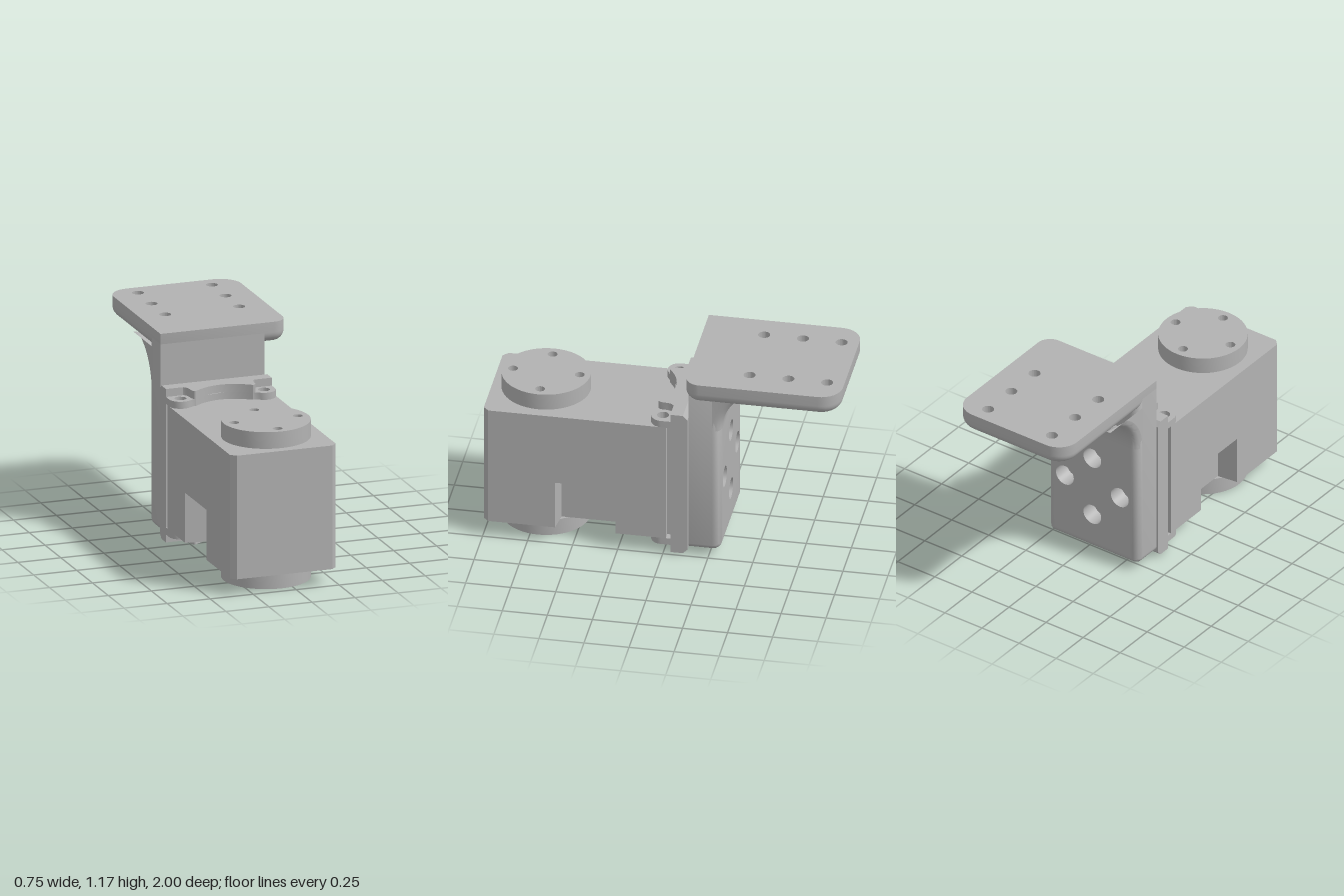
import * as THREE from 'three';
import { mergeGeometries, toCreasedNormals } from 'three/addons/utils/BufferGeometryUtils.js';

const grey = new THREE.MeshStandardMaterial({ color: 0xb2b2b2, side: THREE.DoubleSide });
grey.name = 'plain grey';
const CX = -0.0675; // middle of the motor and arm

function mesh(name, geos) {
  const plain = geos.map((g) => {
    const n = g.index ? g.toNonIndexed() : g;
    n.deleteAttribute('uv');
    n.deleteAttribute('normal');
    return n;
  });
  const m = new THREE.Mesh(toCreasedNormals(mergeGeometries(plain), 0.6), grey);
  m.name = name;
  return m;
}

// quads between rows of points, skipping any whose centre fails keep()
function grid(rows, keep = () => true) {
  const pos = [], index = [], n = rows[0].length;
  rows.forEach((r) => r.forEach((p) => pos.push(...p)));
  for (let i = 0; i < rows.length - 1; i++) {
    for (let j = 0; j < n - 1; j++) {
      const a = i * n + j, b = a + 1, c = a + n, d = c + 1;
      if (keep(i, j)) index.push(a, b, d, a, d, c);
    }
  }
  const g = new THREE.BufferGeometry();
  g.setAttribute('position', new THREE.Float32BufferAttribute(pos, 3));
  g.setIndex(index);
  return g;
}

const circle = (x, y, r) => new THREE.Path().absarc(x, y, r, 0, Math.PI * 2, true);

// plan outline (x, z) raised from y0 to y1
function plan(shape, y0, y1) {
  const g = new THREE.ExtrudeGeometry(shape, { depth: y1 - y0, bevelEnabled: false, curveSegments: 24 });
  return g.rotateX(Math.PI / 2).translate(0, y1, 0);
}

const poly = (pts) => new THREE.Shape(pts.map(([x, y]) => new THREE.Vector2(x, y)));

// rectangle with its own radius at each corner, shrunk by an inset
function roundRect(x0, x1, y0, y1, radii, inset) {
  const pts = [];
  [[x0, y0, 1, 1], [x1, y0, -1, 1], [x1, y1, -1, -1], [x0, y1, 1, -1]].forEach(([x, y, sx, sy], k) => {
    const r = Math.max(radii[k] - inset, 0.0005);
    for (let i = 0; i <= 8; i++) {
      const a = Math.PI + (k + i / 8) * Math.PI / 2;
      pts.push([x + sx * (inset + r) + r * Math.cos(a), y + sy * (inset + r) + r * Math.sin(a)]);
    }
  });
  return pts;
}

// slab along +z with one rounded rim; holes are [x, y, outer radius, inner radius, step depth]
function slab(outline, depth, rim, holes) {
  const rows = [];
  const ring = (inset, t) => {
    const p = outline(inset).map(([x, y]) => [x, y, t]);
    rows.push([...p, p[0]]);
  };
  ring(0, 0);
  for (let i = 0; i <= 8; i++) {
    const a = i / 8 * Math.PI / 2;
    ring(rim * (1 - Math.cos(a)), depth - rim + rim * Math.sin(a));
  }
  const cap = (inset, t, key) => {
    const s = poly(outline(inset));
    holes.forEach((h) => s.holes.push(circle(h[0], h[1], h[key])));
    return new THREE.ShapeGeometry(s, 16).translate(0, 0, t);
  };
  const geos = [grid(rows), cap(0, 0, 3), cap(rim, depth, 2)];
  const tube = (x, y, r, t0, t1) => geos.push(new THREE.CylinderGeometry(r, r, t1 - t0, 32, 1, true)
    .rotateX(Math.PI / 2).translate(x, y, (t0 + t1) / 2));
  holes.forEach(([x, y, R, r, step]) => {
    tube(x, y, r, 0, depth - step);
    if (step > 0) {
      tube(x, y, R, depth - step, depth);
      geos.push(new THREE.RingGeometry(r, R, 32).translate(x, y, depth - step));
    }
  });
  return geos;
}

// curved web under the shelf, with two round screw clearances
function filletGeometry() {
  const x0 = -0.37, x1 = 0.235, edge = 0.05, R = 0.06, NX = 64, NA = 26;
  const bores = [[-0.22, -0.475], [0.21, -0.475]];
  const inset = (x) => {
    const d = Math.min(x - x0, x1 - x, edge);
    return edge - Math.sqrt(Math.max(0, edge * edge - (edge - d) ** 2));
  };
  const height = (x, z) => Math.min(1.05, 0.8 + Math.sqrt(Math.max(0, (0.25 + inset(x)) ** 2 - (z + 0.57) ** 2)));
  const rows = [];
  for (let i = 0; i <= NX; i++) {
    const x = THREE.MathUtils.lerp(x0, x1, 0.5 - 0.5 * Math.cos(i / NX * Math.PI) * (0.6 + 0.4 * Math.abs(2 * i / NX - 1)));
    const row = [];
    for (let j = 0; j <= NA; j++) {
      const a = j / NA * Math.PI / 2, r = 0.25 + inset(x);
      let p = [x, Math.min(1.06, 0.8 + r * Math.sin(a)), -0.57 + r * Math.cos(a)];
      for (const [bx, bz] of bores) {
        const d = Math.hypot(p[0] - bx, p[2] - bz);
        if (Math.abs(d - R) < 0.006 && i > 0 && i < NX) {
          const px = bx + (p[0] - bx) * R / d, pz = bz + (p[2] - bz) * R / d;
          p = [px, height(px, pz), pz];
        }
      }
      row.push(p);
    }
    rows.push(row);
  }
  const keep = (i, j) => {
    const a = rows[i][j], b = rows[i + 1][j + 1];
    return bores.every(([x, z]) => Math.hypot((a[0] + b[0]) / 2 - x, (a[2] + b[2]) / 2 - z) > R);
  };
  const geos = [grid(rows, keep)];
  // side walls of the web
  [rows[0], rows[NX]].forEach((r) => {
    geos.push(grid([r, r.map((p) => [p[0], Math.max(p[1], 1.06), p[2]])]));
  });
  // clearance walls end on the curved surface
  bores.forEach(([x, z]) => {
    const g = new THREE.CylinderGeometry(R, R, 0.2, 40, 1, true).translate(x, 1.05, z);
    const p = g.attributes.position;
    for (let i = 0; i < p.count; i++) {
      const px = THREE.MathUtils.clamp(p.getX(i), x0, x1);
      p.setX(i, px);
      p.setY(i, p.getY(i) > 1.05 ? 1.05 : height(px, p.getZ(i)));
    }
    geos.push(g);
  });
  return geos;
}

// clamp collar outlines, mirrored about the middle
function collarShape(withLugs) {
  const half = [[0.3075, -0.135]];
  if (withLugs) {
    for (let i = 0; i <= 14; i++) {
      const a = i / 14 * 2.3;
      half.push([0.2425 + 0.065 * Math.cos(a), 0.012 + 0.065 * Math.sin(a)]);
    }
  } else {
    half.push([0.3075, -0.05], [0.235, -0.05], [0.21, -0.043], [0.193, -0.025], [0.187, 0], [0.185, 0.035]);
  }
  half.push([0.175, 0.05]);
  for (let i = 0; i <= 10; i++) {
    const t = 1 - i / 10;
    half.push([0.165 * t, -0.015 + 0.065 * t * t]);
  }
  const other = half.slice(0, -1).reverse().map(([x, z]) => [-x, z]);
  const s = poly([...half, ...other].map(([x, z]) => [x + CX, z]));
  if (withLugs) [-1, 1].forEach((k) => s.holes.push(circle(CX + k * 0.2425, 0.012, 0.033)));
  return s;
}

export function createModel() {
  const model = new THREE.Group();
  model.name = 'servoWithBracket';
  const L = -0.375, R = 0.24, c = 0.03, d = 0.12;

  // motor case: full upper block, lower block with a pocket in each side
  const front = [[R, 1 - c], [R - c, 1], [L + c, 1], [L, 1 - c]];
  const upper = poly([[L, -0.015], [R, -0.015], ...front]);
  const lower = poly([[L, -0.015], [R, -0.015],
    [R, 0.265], [R - d, 0.28], [R - d, 0.585], [R, 0.6], ...front,
    [L, 0.6], [L + d, 0.585], [L + d, 0.28], [L, 0.265]]);
  model.add(mesh('motorCase', [plan(upper, 0.38, 0.8), plan(lower, 0.095, 0.38)]));
  model.add(mesh('slotCore', [new THREE.BoxGeometry(R - L - 0.08, 0.7, 0.03).translate(CX, 0.4475, -0.028)]));

  // output horns
  const horn = new THREE.Shape().absarc(CX, 0.705, 0.245, 0, Math.PI * 2);
  [[0, 1], [1, 0], [0, -1], [-1, 0]].forEach(([a, b]) =>
    horn.holes.push(circle(CX + a * 0.185, 0.705 + b * 0.185, 0.027)));
  model.add(mesh('topHorn', [plan(horn, 0.8, 0.895)]), mesh('bottomHorn', [plan(horn, 0, 0.095)]));

  // clamp plate with chamfered back edges, and its screw lugs
  const side = poly([[0.04, 0.01], [0.11, 0.01], [0.135, 0.035], [0.135, 0.86], [0.11, 0.885], [0.04, 0.885]]);
  const plate = new THREE.ExtrudeGeometry(side, { depth: R - L, bevelEnabled: false })
    .rotateY(Math.PI / 2).translate(L, 0, 0);
  model.add(mesh('clampPlate', [plate]));
  const trim = (shape, y0, y1) => {
    // keep the collar clear of the plate's chamfer
    const g = plan(shape, y0, y1), p = g.attributes.position;
    for (let i = 0; i < p.count; i++) if (p.getZ(i) < -0.1) p.setZ(i, -0.06);
    return g;
  };
  const lugs = collarShape(true), rim = collarShape(false);
  model.add(mesh('topLugs', [trim(lugs, 0.8, 0.84)]), mesh('topCollar', [trim(rim, 0.84, 0.885)]));
  model.add(mesh('bottomLugs', [trim(lugs, 0.055, 0.095)]), mesh('bottomCollar', [trim(rim, 0.01, 0.055)]));

  // upright arm with four counterbored holes
  const armHoles = [[0, 1], [1, 0], [0, -1], [-1, 0]].map(([a, b]) =>
    [-CX + a * 0.185, 0.45 + b * 0.185, 0.06, 0.033, 0.1]);
  const arm = slab((i) => roundRect(-0.235, 0.37, 0.04, 1.12, [0.04, 0.04, 0, 0], i), 0.18, 0.05, armHoles);
  model.add(mesh('uprightArm', arm.map((g) => g.rotateY(Math.PI).translate(0, 0, -0.14))));

  // mounting shelf with six through holes
  const shelfHoles = [];
  for (const x of [-0.22, 0.21]) for (const z of [-0.905, -0.69, -0.475]) shelfHoles.push([x, z, 0.033, 0.033, 0]);
  const shelf = slab((i) => roundRect(-0.37, 0.37, -1, -0.14, [0.12, 0.12, 0.08, 0], i), 0.12, 0.06, shelfHoles);
  model.add(mesh('mountingShelf', shelf.map((g) => g.rotateX(Math.PI / 2).translate(0, 1.17, 0))));
  model.add(mesh('shelfFillet', filletGeometry()));
  return model;
}
